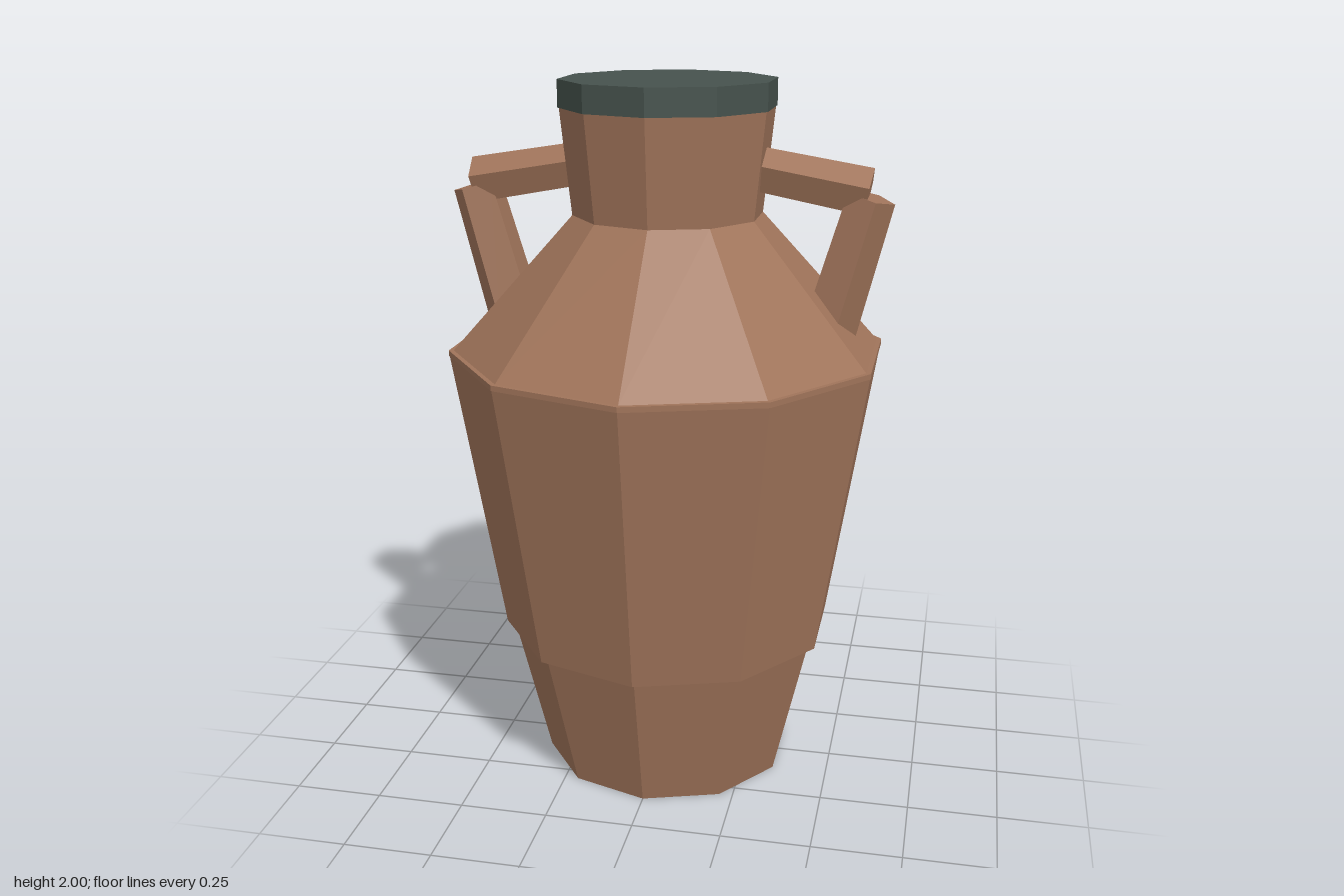
import * as THREE from 'three';

const SIDES = 10;

export function createModel() {
  const model = new THREE.Group();
  const clay = new THREE.MeshStandardMaterial({ color: 0xa0745a, flatShading: true });
  const dark = new THREE.MeshStandardMaterial({ color: 0x46524d, flatShading: true });

  // Ten-sided tapered ring of the vessel, corners on the z axis
  function section(name, y0, r0, y1, r1, material = clay) {
    const mesh = new THREE.Mesh(new THREE.CylinderGeometry(r1, r0, y1 - y0, SIDES), material);
    mesh.position.y = (y0 + y1) / 2;
    mesh.name = name;
    model.add(mesh);
  }
  section('foot', 0, 0.36, 0.425, 0.462);
  section('body', 0.422, 0.482, 1.245, 0.617);
  section('bodyRim', 1.245, 0.619, 1.26, 0.619);
  section('shoulder', 1.26, 0.605, 1.635, 0.265);
  section('neck', 1.63, 0.265, 1.925, 0.296);
  section('lid', 1.925, 0.3, 2, 0.3, dark);

  // Five-sided bar from a to b, with its ridge on the outer side
  function bar(name, a, b, ra, rb) {
    const start = new THREE.Vector3(a[0], a[1], 0);
    const end = new THREE.Vector3(b[0], b[1], 0);
    const dir = end.clone().sub(start);
    const geometry = new THREE.CylinderGeometry(rb, ra, dir.length(), 5);
    dir.normalize();
    const ridge = new THREE.Vector3(-dir.y, dir.x, 0);
    const across = new THREE.Vector3().crossVectors(dir, ridge);
    const mesh = new THREE.Mesh(geometry, clay);
    mesh.quaternion.setFromRotationMatrix(new THREE.Matrix4().makeBasis(across, dir, ridge));
    mesh.position.addVectors(start, end).multiplyScalar(0.5);
    mesh.name = name;
    return mesh;
  }

  // Two matching handles, from neck to elbow to shoulder
  for (const [name, turn] of [['leftHandle', 0], ['rightHandle', Math.PI]]) {
    const handle = new THREE.Group();
    handle.name = name;
    handle.add(
      bar('handleTop', [0.21, 1.768], [0.551, 1.708], 0.063, 0.068),
      bar('handleGrip', [0.552, 1.698], [0.448, 1.32], 0.071, 0.081),
    );
    handle.rotation.y = turn;
    model.add(handle);
  }
  return model;
}
